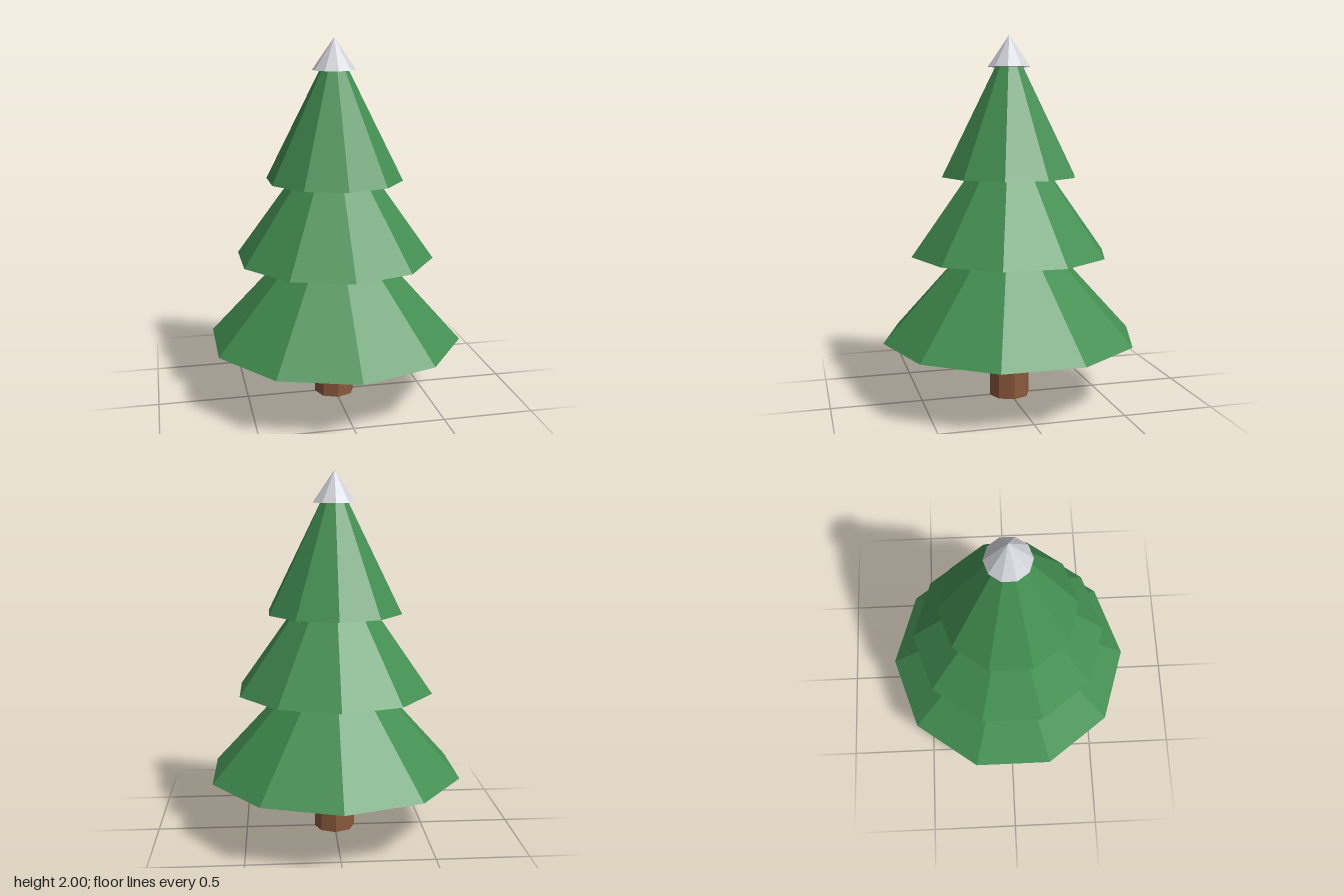
import * as THREE from 'three';

export function createModel() {
  const tree = new THREE.Group();
  tree.name = 'pineTree';

  const material = (name, color) => {
    const m = new THREE.MeshStandardMaterial({ color, flatShading: true });
    m.name = name;
    return m;
  };
  const bark = material('barkBrown', 0x8a5a3c);
  const needles = material('needleGreen', 0x438f52);
  const snow = material('snowGrey', 0xd2d3da);

  // Adds a faceted cone or post spanning two heights
  const add = (name, mat, bottomRadius, topRadius, y0, y1, sides) => {
    const geometry = new THREE.CylinderGeometry(topRadius, bottomRadius, y1 - y0, sides);
    const mesh = new THREE.Mesh(geometry, mat);
    mesh.name = name;
    mesh.position.y = (y0 + y1) / 2;
    tree.add(mesh);
  };

  // Eight-sided trunk, running a little way into the foliage
  add('trunk', bark, 0.113, 0.113, 0, 0.38, 8);

  // Three overlapping foliage tiers: radius, base height, apex height
  const tiers = [
    ['lowerFoliage', 0.708, 0.34, 1.11],
    ['middleFoliage', 0.547, 0.81, 1.57],
    ['upperFoliage', 0.376, 1.24, 1.985],
  ];
  for (const [name, radius, base, apex] of tiers) add(name, needles, radius, 0, base, apex, 10);

  // Snowy tip
  add('snowCap', snow, 0.119, 0, 1.83, 2, 10);

  return tree;
}
